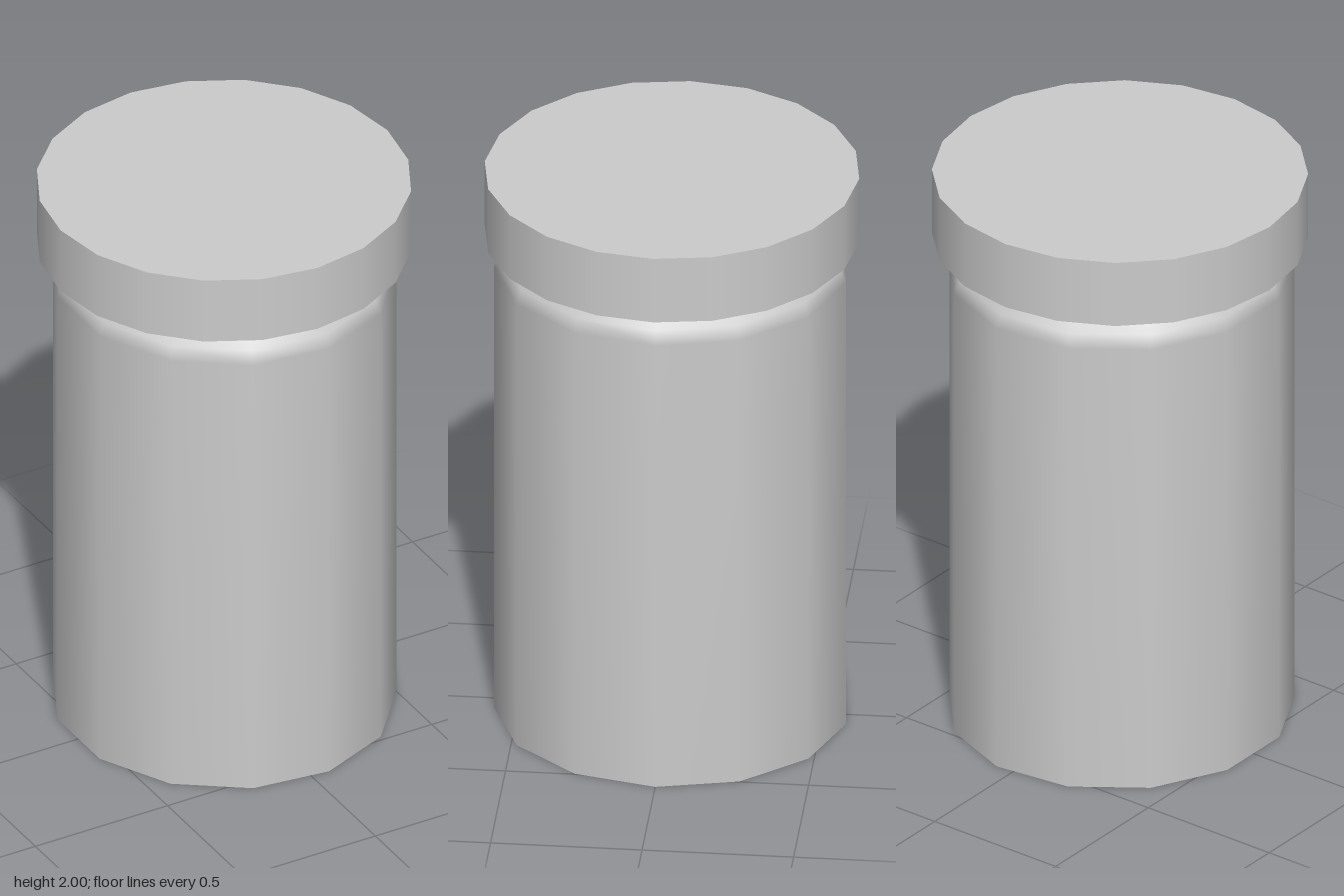
import * as THREE from 'three';

export function createModel() {
  const model = new THREE.Group();
  model.name = 'lidded jar';
  const material = new THREE.MeshStandardMaterial({ color: 0xcccccc });

  // Body: thirteen-sided unit profile, slightly deeper than wide; the doubled point keeps the base edge sharp
  const profile = [
    [0, 0], [1, 0], [1, 0], [1, 1.645], [0.967, 1.69], [0.873, 1.765], [0.82, 1.8], [0, 1.8],
  ].map(([r, y]) => new THREE.Vector2(r, y));
  const body = new THREE.Mesh(new THREE.LatheGeometry(profile, 13, Math.PI / 2), material);
  body.name = 'body';
  body.scale.set(0.564, 1, 0.585);
  body.position.x = -0.003;
  model.add(body);

  // Lid: overhanging flat disc
  const lidHeight = 0.237;
  const lid = new THREE.Mesh(new THREE.CylinderGeometry(0.618, 0.618, lidHeight, 20), material);
  lid.name = 'lid';
  lid.position.y = 2 - lidHeight / 2;
  model.add(lid);

  return model;
}
